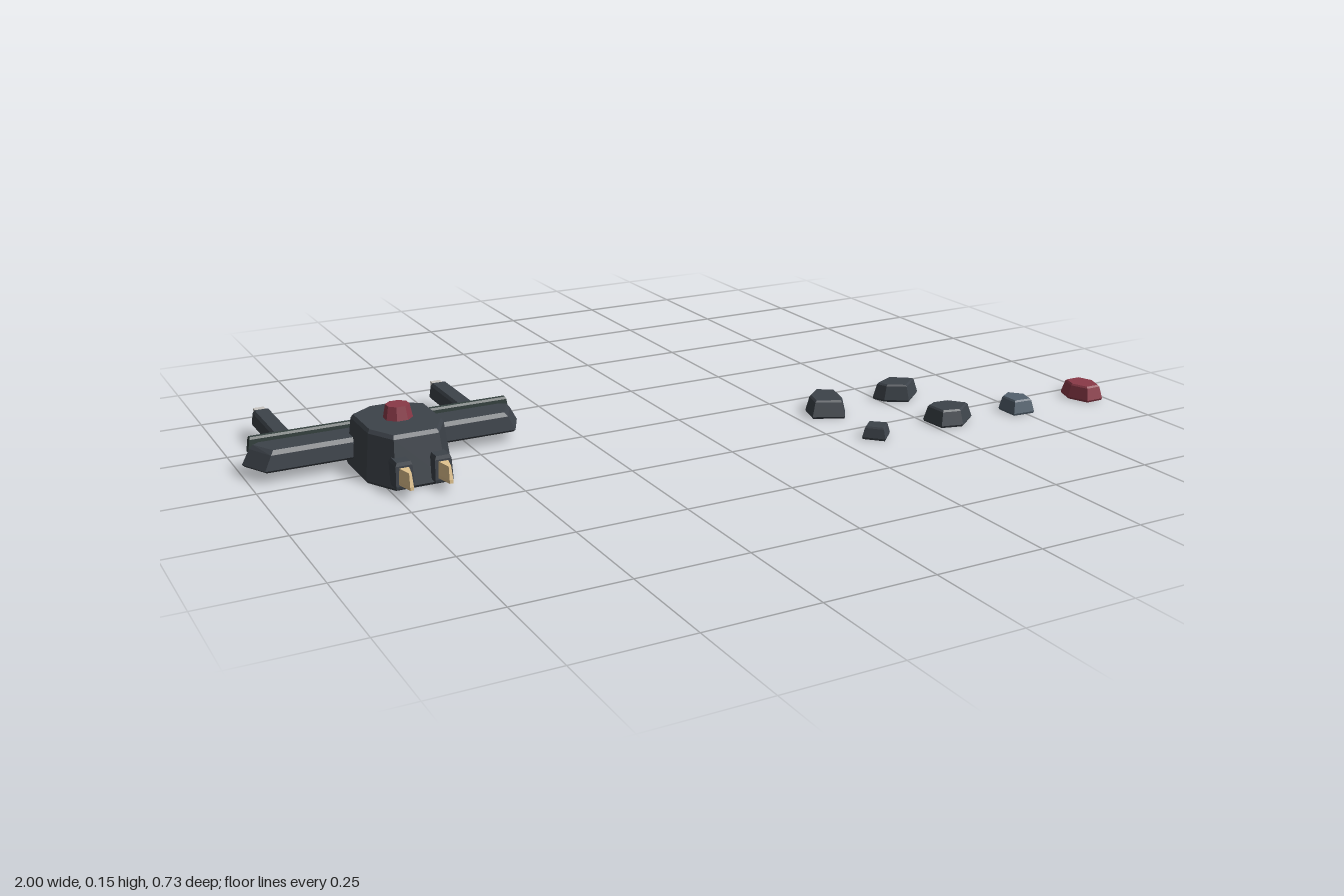
import * as THREE from 'three';

const DARK = 0x3d434a, RED = 0x8a3a48, SLATE = 0x53616e, TAN = 0xe2c48f, PALE = 0xc8c5c0, RAIL = 0x35413f;

function part(name, geometry, color) {
  const mesh = new THREE.Mesh(geometry, new THREE.MeshStandardMaterial({ color, flatShading: true }));
  mesh.name = name;
  return mesh;
}

// Closed solid: one convex [x, z] outline (clockwise from above) stacked at
// levels [y, scaleX, scaleZ], scaled about the outline's middle.
function stack(outline, levels) {
  const n = outline.length, pos = [];
  const cx = outline.reduce((s, p) => s + p[0], 0) / n;
  const cz = outline.reduce((s, p) => s + p[1], 0) / n;
  const at = (l, i) => {
    const [y, sx, sz = sx] = levels[l], [x, z] = outline[i % n];
    return [cx + (x - cx) * sx, y, cz + (z - cz) * sz];
  };
  const top = levels.length - 1;
  for (let i = 0; i < n; i++) {
    for (let l = 0; l < top; l++) {
      const a = at(l, i), b = at(l, i + 1), c = at(l + 1, i + 1), d = at(l + 1, i);
      pos.push(...a, ...d, ...c, ...a, ...c, ...b);
    }
    pos.push(cx, levels[top][0], cz, ...at(top, i + 1), ...at(top, i));
    pos.push(cx, levels[0][0], cz, ...at(0, i), ...at(0, i + 1));
  }
  const g = new THREE.BufferGeometry();
  g.setAttribute('position', new THREE.Float32BufferAttribute(pos, 3));
  g.computeVertexNormals();
  return g;
}

// Rectangle outline from half width and z range
const rect = (w, z0, z1) => [[-w, z0], [w, z0], [w, z1], [-w, z1]];

function createShip() {
  const ship = new THREE.Group();
  ship.name = 'ship';
  ship.position.x = -0.683;

  // Faceted hull with bevelled rims
  const hull = [[-0.035, -0.128], [0.035, -0.128], [0.096, -0.085], [0.096, 0.05],
    [0.057, 0.125], [-0.057, 0.125], [-0.096, 0.05], [-0.096, -0.085]];
  ship.add(part('hull', stack(hull, [[0, 0.97], [0.006, 1], [0.108, 0.88], [0.116, 0.83]]), DARK));

  // Red turret on the hull
  const turret = part('turret', new THREE.CylinderGeometry(0.026, 0.033, 0.034, 8), RED);
  turret.position.set(0, 0.129, -0.008);
  turret.rotation.y = Math.PI / 8;
  ship.add(turret);

  // Wide cross wing with a rail along its rear edge
  const wing = [[-0.295, -0.128], [0.295, -0.128], [0.317, -0.11],
    [0.285, -0.042], [-0.285, -0.042], [-0.317, -0.11]];
  ship.add(part('wing', stack(wing,
    [[0.024, 0.985, 0.92], [0.029, 1, 1], [0.062, 0.945, 0.94], [0.071, 0.92, 0.8]]), DARK));
  ship.add(part('wingRail', stack(rect(0.3, -0.133, -0.117),
    [[0.05, 1], [0.079, 0.985, 1], [0.084, 0.98, 0.6]]), RAIL));

  for (const s of [-1, 1]) {
    // Rear booms with pale end caps
    const boom = new THREE.Group();
    boom.name = s > 0 ? 'leftBoom' : 'rightBoom';
    boom.position.x = s * 0.213;
    boom.add(part('boomArm', stack(rect(0.022, -0.346, -0.1),
      [[0.03, 0.85, 0.99], [0.035, 1, 1], [0.063, 0.9, 0.95], [0.07, 0.7, 0.93]]), DARK));
    boom.add(part('boomCap', stack(rect(0.012, -0.364, -0.335), [[0.033, 1], [0.067, 1]]), PALE));
    ship.add(boom);

    // Front prongs with pointed tan tips
    const prong = new THREE.Group();
    prong.name = s > 0 ? 'leftProng' : 'rightProng';
    prong.position.x = s * 0.043;
    prong.add(part('prongBase', stack(rect(0.02, 0.09, 0.148),
      [[0.012, 0.95], [0.018, 1], [0.062, 0.92], [0.07, 0.75, 0.85]]), DARK));
    const tip = [[-0.015, 0.14], [0.015, 0.14], [0.004, 0.19], [-0.004, 0.19]];
    prong.add(part('prongTip', stack(tip, [[0.022, 1], [0.03, 1], [0.058, 0.7, 0.76]]), TAN));
    ship.add(prong);
  }
  return ship;
}

// Loose tapered chunks: outline, height, colour
const CHUNKS = [
  [[[0.296, 0.09], [0.345, 0.047], [0.39, 0.078], [0.372, 0.147], [0.35, 0.18], [0.28, 0.147]], 0.042, DARK],
  [[[0.493, 0.088], [0.56, 0.056], [0.618, 0.1], [0.555, 0.152], [0.505, 0.12]], 0.042, DARK],
  [[[0.303, 0.318], [0.34, 0.283], [0.38, 0.318], [0.34, 0.357]], 0.03, DARK],
  [[[0.503, 0.28], [0.53, 0.265], [0.58, 0.27], [0.618, 0.315], [0.56, 0.358], [0.508, 0.345]], 0.04, DARK],
  [[[0.714, 0.297], [0.75, 0.275], [0.783, 0.312], [0.77, 0.36], [0.714, 0.355]], 0.035, SLATE],
  [[[0.933, 0.268], [0.982, 0.268], [1, 0.313], [0.982, 0.362], [0.936, 0.362], [0.917, 0.313]], 0.037, RED],
];

export function createModel() {
  const model = new THREE.Group();
  model.name = 'shipAndDebris';
  model.add(createShip());
  CHUNKS.forEach(([outline, h, color], i) => {
    model.add(part(`chunk${i + 1}`,
      stack(outline, [[0, 0.95], [0.005, 1], [h - 0.004, 0.82], [h, 0.74]]), color));
  });
  return model;
}
